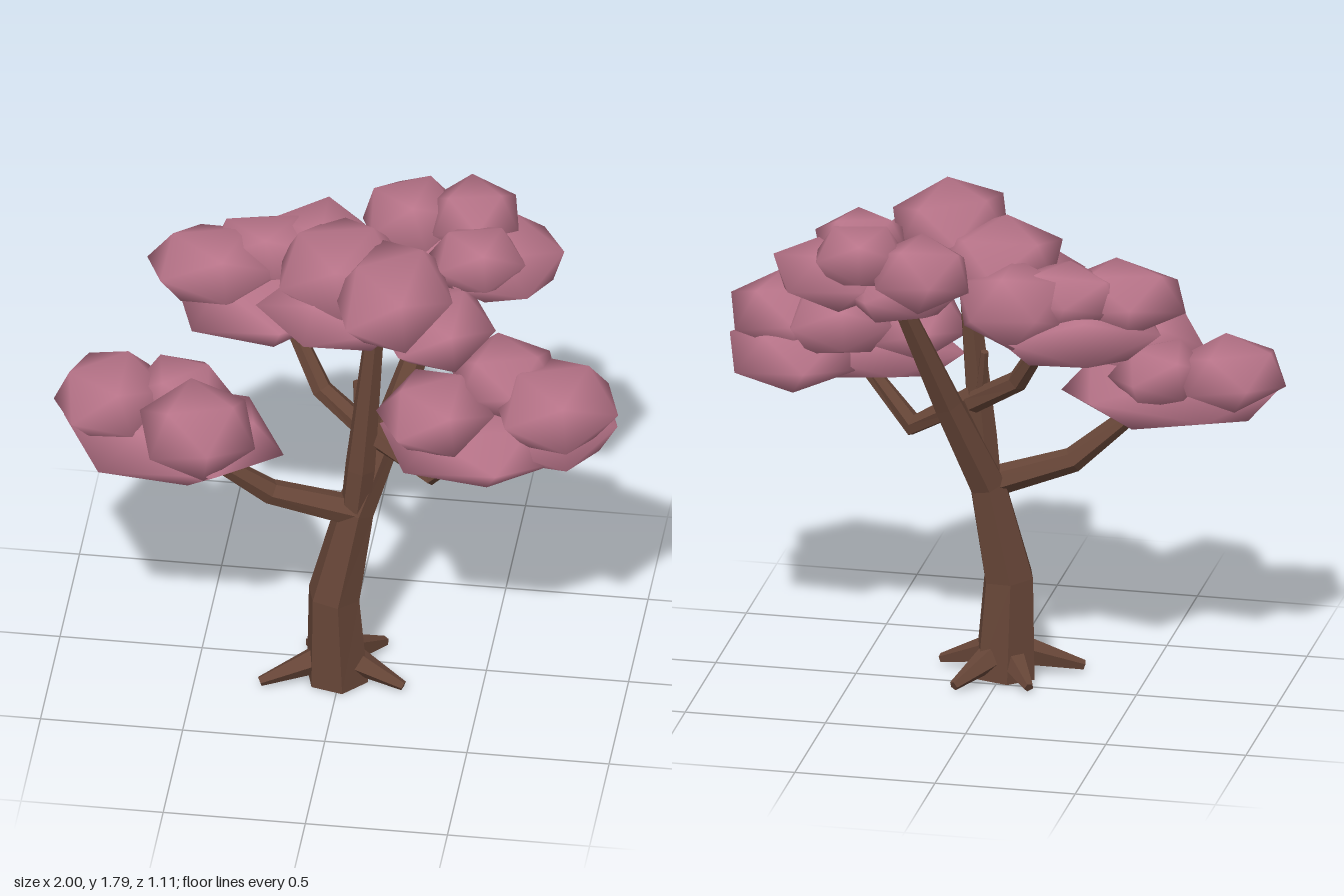
import * as THREE from 'three';
import { mergeVertices } from 'three/addons/utils/BufferGeometryUtils.js';

const bark = new THREE.MeshStandardMaterial({ color: 0x664537 });
bark.name = 'bark brown';
const blossom = new THREE.MeshStandardMaterial({ color: 0xb87489 });
blossom.name = 'blossom pink';

// Faceted limb: hexagonal rings lofted along points [x, y, z, radius]
function limb(name, stops, sides = 6) {
  const pts = stops.map(([x, y, z]) => new THREE.Vector3(x, y, z));
  const pos = [], idx = [], n = stops.length;
  pts.forEach((p, i) => {
    const t = pts[Math.min(i + 1, n - 1)].clone().sub(pts[Math.max(i - 1, 0)]).normalize();
    const u = new THREE.Vector3().crossVectors(t, new THREE.Vector3(0, 0, 1)).normalize();
    const v = new THREE.Vector3().crossVectors(u, t);
    for (let j = 0; j < sides; j++) {
      const a = (j / sides) * Math.PI * 2 + 0.25;
      const q = p.clone()
        .addScaledVector(u, Math.cos(a) * stops[i][3])
        .addScaledVector(v, Math.sin(a) * stops[i][3]);
      pos.push(q.x, Math.max(q.y, 0), q.z);
    }
  });
  const first = n * sides, last = first + 1;
  for (const p of [pts[0], pts[n - 1]]) pos.push(p.x, p.y, p.z);
  for (let j = 0; j < sides; j++) {
    const k = (j + 1) % sides, top = (n - 1) * sides;
    for (let i = 0; i < n - 1; i++) {
      const a = i * sides + j, b = i * sides + k;
      idx.push(a, a + sides, b, b, a + sides, b + sides);
    }
    idx.push(first, j, k, last, top + k, top + j);
  }
  const indexed = new THREE.BufferGeometry();
  indexed.setAttribute('position', new THREE.Float32BufferAttribute(pos, 3));
  indexed.setIndex(idx);
  const geo = indexed.toNonIndexed();
  geo.computeVertexNormals();
  const mesh = new THREE.Mesh(geo, bark);
  mesh.name = name;
  return mesh;
}

// Smooth-shaded twenty-sided puff, leaned and turned, fitted to its half sizes
function puffGeometry(hx, hy, hz, turn, lean) {
  let geo = new THREE.IcosahedronGeometry(1, 0);
  geo.deleteAttribute('normal');
  geo.deleteAttribute('uv');
  geo = mergeVertices(geo, 1e-4);
  geo.rotateX(lean).rotateY(turn);
  geo.computeBoundingBox();
  const { x, y, z } = geo.boundingBox.max;
  geo.scale(hx / x, hy / y, hz / z);
  geo.computeVertexNormals();
  return geo;
}

// Each puff: centre x, y, z, half sizes x, y, z, turn, lean
const clusters = {
  leftLowFoliage: [
    [-0.57, 1.06, 0.22, 0.39, 0.1, 0.26, 1.5, -0.25],
    [-0.8, 1.165, 0.16, 0.2, 0.095, 0.22, 1.57, 0.25],
    [-0.47, 1.175, 0.34, 0.21, 0.125, 0.21, 0.3, 0.35],
    [-0.56, 1.16, 0.11, 0.18, 0.1, 0.18, 0.7, 0.2],
  ],
  rightLowFoliage: [
    [0.48, 1.135, 0.23, 0.33, 0.085, 0.23, 0.35, 0.35],
    [0.74, 1.15, 0.09, 0.24, 0.095, 0.27, 1.4, 0.25],
    [0.35, 1.24, 0.22, 0.21, 0.095, 0.21, 0.5, -0.25],
    [0.57, 1.29, 0.04, 0.2, 0.1, 0.19, 0.3, 0.25],
    [0.77, 1.275, 0.17, 0.225, 0.1, 0.25, 0.3, -0.35],
  ],
  leftHighFoliage: [
    [-0.32, 1.42, -0.18, 0.32, 0.1, 0.3, 0.35, 0.3],
    [-0.48, 1.535, -0.15, 0.24, 0.1, 0.2, 0.3, -0.35],
    [-0.29, 1.56, -0.24, 0.21, 0.095, 0.17, 1.2, 0.2],
    [-0.13, 1.54, -0.31, 0.2, 0.13, 0.18, 1.57, 0.1],
  ],
  frontHighFoliage: [
    [-0.01, 1.53, 0.05, 0.29, 0.09, 0.22, 0.7, 0.28],
    [0.34, 1.53, 0.11, 0.21, 0.09, 0.22, 0.5, -0.2],
    [-0.02, 1.62, -0.07, 0.22, 0.095, 0.29, 1.2, 0.25],
    [0.19, 1.66, 0.13, 0.215, 0.095, 0.3, 0.4, -0.35],
  ],
  backHighFoliage: [
    [0.51, 1.59, -0.25, 0.23, 0.1, 0.22, 1.57, 0.15],
    [0.27, 1.56, -0.31, 0.22, 0.09, 0.19, 0.6, 0.25],
    [0.19, 1.65, -0.37, 0.18, 0.11, 0.185, 1.4, 0.2],
    [0.41, 1.69, -0.35, 0.165, 0.1, 0.17, 0.2, 0.2],
    [0.45, 1.66, -0.13, 0.175, 0.095, 0.155, 0.3, -0.3],
  ],
};

export function createModel() {
  const tree = new THREE.Group();
  tree.name = 'blossomTree';

  // Trunk leaning back to the highest crown, with its side branches
  const wood = new THREE.Group();
  wood.name = 'wood';
  wood.add(
    limb('trunk', [[-0.01, 0, 0.1, 0.115], [-0.02, 0.36, 0.115, 0.095], [0.05, 0.71, 0.09, 0.07],
      [0.17, 1.04, -0.02, 0.055], [0.32, 1.52, -0.2, 0.032]]),
    limb('frontBranch', [[0.04, 0.62, 0.1, 0.05], [0.07, 0.9, 0.1, 0.055], [0.12, 1.5, 0.08, 0.034]]),
    limb('leftLowBranch', [[0.05, 0.71, 0.1, 0.055], [-0.24, 0.8, 0.15, 0.045], [-0.54, 1.05, 0.24, 0.025]]),
    limb('rightLowBranch', [[0.09, 1.04, 0.07, 0.045], [0.32, 0.9, 0.11, 0.042], [0.52, 1.11, 0.17, 0.028]]),
    limb('leftHighBranch', [[0.1, 1.02, 0.06, 0.04], [-0.08, 1.14, -0.01, 0.038], [-0.22, 1.38, -0.12, 0.028]]),
    limb('shortTwig', [[0.07, 1.02, 0.07, 0.025], [0.05, 1.22, 0.04, 0.015]]),
  );
  tree.add(wood);

  // Roots spreading from the foot of the trunk
  const roots = new THREE.Group();
  roots.name = 'roots';
  for (const [x, z] of [[-0.27, 0.2], [0.23, 0.16], [0.13, -0.1], [-0.13, -0.06]]) {
    const mx = -0.01 + (x + 0.01) * 0.3, mz = 0.1 + (z - 0.1) * 0.3;
    roots.add(limb('root', [[mx, 0.08, mz, 0.05], [x, 0.02, z, 0.018]], 5));
  }
  tree.add(roots);

  // Clustered blossom puffs
  for (const [name, puffs] of Object.entries(clusters)) {
    const cluster = new THREE.Group();
    cluster.name = name;
    for (const [x, y, z, ...shape] of puffs) {
      const puff = new THREE.Mesh(puffGeometry(...shape), blossom);
      puff.name = 'blossomPuff';
      puff.position.set(x, y, z);
      cluster.add(puff);
    }
    tree.add(cluster);
  }
  return tree;
}
